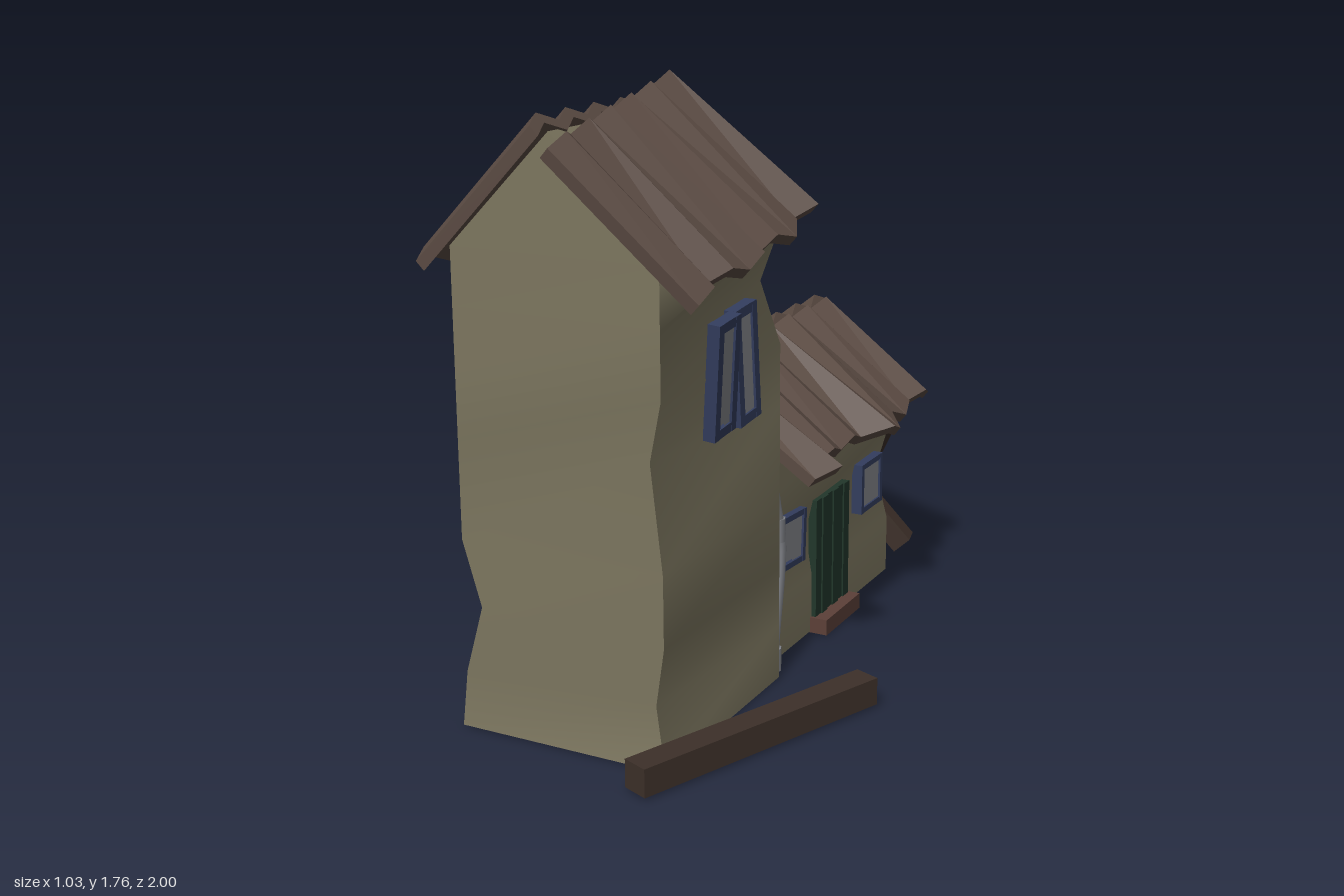
import * as THREE from 'three';
import { toCreasedNormals } from 'three/addons/utils/BufferGeometryUtils.js';

const material = (color, options = {}) =>
  new THREE.MeshStandardMaterial({ color, flatShading: true, roughness: 0.9, ...options });
const V = (x, y, z) => new THREE.Vector3(x, y, z);

// Collects quads and triangles (counter-clockwise from outside) into one mesh
function facetMesh(name, mat, build) {
  const pos = [];
  const tri = (...pts) => pts.forEach(p => pos.push(p.x, p.y, p.z));
  const quad = (a, b, c, d) => { tri(a, b, c); tri(a, c, d); };
  build(quad, tri);
  const g = new THREE.BufferGeometry();
  g.setAttribute('position', new THREE.Float32BufferAttribute(pos, 3));
  const m = new THREE.Mesh(toCreasedNormals(g, 0.8), mat);
  m.name = name;
  return m;
}

// Gabled wall block; dents = { row: { corner: [dx, dz] } }
// Corners: 0 = -x+z, 1 = +x+z, 2 = +x-z, 3 = -x-z
function walls(name, mat, [x0, x1], [z0, z1], heights, ridgeY, dents) {
  return facetMesh(name, mat, (quad, tri) => {
    const rows = heights.map((y, r) => [[x0, z1], [x1, z1], [x1, z0], [x0, z0]].map(([x, z], c) => {
      const [dx, dz] = dents[r]?.[c] ?? [0, 0];
      return V(x + dx, y, z + dz);
    }));
    for (let r = 0; r + 1 < rows.length; r++)
      for (let c = 0; c < 4; c++) {
        const n = (c + 1) % 4;
        quad(rows[r][c], rows[r][n], rows[r + 1][n], rows[r + 1][c]);
      }
    const b = rows[0], t = rows[rows.length - 1], mid = (x0 + x1) / 2;
    const f = V(mid, ridgeY, z1), k = V(mid, ridgeY, z0);
    quad(b[3], b[2], b[1], b[0]);
    tri(t[0], t[1], f);
    tri(t[2], t[3], k);
    quad(t[1], t[2], k, f);
    quad(t[3], t[0], f, k);
  });
}

// Corrugated sheet between a ridge line and an eave line; flare pushes single eave points out in x
function roofSheet(name, mat, ridge0, ridge1, eave0, eave1, folds, flare = []) {
  const amp = 0.017, thick = 0.034;
  const down = eave0.clone().sub(ridge0).normalize();
  const normal = ridge1.clone().sub(ridge0).cross(down).normalize();
  if (normal.y < 0) normal.negate();
  return facetMesh(name, mat, quad => {
    const steps = folds * 2, sections = [];
    for (let i = 0; i <= steps; i++) {
      const t = i / steps, lift = i % 2 ? amp : -amp;
      const r = ridge0.clone().lerp(ridge1, t);
      const e = eave0.clone().lerp(eave1, t);
      e.x += flare[i] ?? 0;
      const at = (p, d) => p.clone().addScaledVector(normal, lift + d);
      sections.push([at(r, thick / 2), at(e, thick / 2), at(e, -thick / 2), at(r, -thick / 2)]);
    }
    for (let i = 0; i < steps; i++)
      for (let k = 0; k < 4; k++) {
        const n = (k + 1) % 4, a = sections[i], b = sections[i + 1];
        quad(a[k], a[n], b[n], b[k]);
      }
    quad(...sections[0]);
    quad(...[...sections[steps]].reverse());
  });
}

function box(name, mat, w, h, d, x, y, z) {
  const m = new THREE.Mesh(new THREE.BoxGeometry(w, h, d), mat);
  m.position.set(x, y, z);
  m.name = name;
  return m;
}

// Square timber between two points
function timber(name, mat, a, b, w, h) {
  const m = box(name, mat, w, h, a.distanceTo(b), 0, 0, 0);
  m.position.copy(a).add(b).multiplyScalar(0.5);
  m.lookAt(b);
  return m;
}

// One framed pane facing local +z; a broken pane has a jagged piece missing
function sash(w, h, bar, frameMat, glassMat, broken) {
  const g = new THREE.Group();
  g.name = 'sash';
  for (const s of [-1, 1]) {
    g.add(box('stile', frameMat, bar, h, 0.036, s * (w - bar) / 2, 0, 0));
    g.add(box('rail', frameMat, w, bar, 0.034, 0, s * (h - bar) / 2, 0));
  }
  const pw = w / 2 - bar / 2, ph = h / 2 - bar / 2;
  const outline = [[pw, -ph], [pw, ph], [-pw, ph]];
  if (broken) outline.push([-pw, ph * 0.1], [-pw * 0.2, ph * 0.3], [-pw * 0.45, -ph * 0.35], [pw * 0.15, -ph * 0.6], [0, -ph]);
  else outline.push([-pw, -ph]);
  const pane = new THREE.Mesh(
    new THREE.ShapeGeometry(new THREE.Shape(outline.map(p => new THREE.Vector2(...p)))), glassMat);
  pane.position.z = 0.011;
  pane.name = 'glass';
  g.add(pane, box('paneBacking', glassMat, w - bar, h - bar, 0.008, 0, 0, 0));
  return g;
}

export function createModel() {
  const root = new THREE.Group();
  root.name = 'ruinedHouse';
  const plaster = material(0x7c765f, { flatShading: false });
  const roof = material(0x5a4a42, { side: THREE.DoubleSide });
  const wood = material(0x3d3029);
  const blue = material(0x333d5e);
  const glass = material(0x85878c, { side: THREE.DoubleSide });
  const green = material(0x21362a);
  const stepMat = material(0x5c4038);
  const metal = material(0x808288, { flatShading: false });

  // Walls with dented corners; the house is narrower than the tower
  root.add(walls('towerWalls', plaster, [-0.435, 0.183], [0.17, 0.845],
    [0.015, 0.18, 0.36, 0.56, 0.84, 1.02, 1.2, 1.36], 1.67, {
      0: { 0: [-0.02, 0] },
      1: { 1: [-0.045, -0.035] },
      2: { 0: [0.035, -0.03] },
      4: { 1: [-0.06, -0.045] },
      6: { 2: [-0.05, 0.025] },
    }));
  root.add(walls('houseWalls', plaster, [-0.375, 0.12], [-0.79, 0.2],
    [0.015, 0.2, 0.38, 0.52, 0.7], 0.9, { 2: { 2: [-0.03, 0.035] } }));

  // Roof sheets; the tower's left-hand one has slipped out of line
  root.add(roofSheet('towerRoofRight', roof, V(-0.137, 1.69, 0.1), V(-0.137, 1.69, 0.91),
    V(-0.495, 1.325, 0.1), V(-0.495, 1.325, 0.91), 6));
  root.add(roofSheet('towerRoofLeft', roof, V(-0.155, 1.755, 0.17), V(-0.06, 1.645, 0.95),
    V(0.24, 1.4, 0.06), V(0.285, 1.275, 0.85), 6,
    [0, 0.01, -0.02, 0, 0.05, 0, 0, 0.02, 0.03, -0.01, -0.04, 0, 0.01]));
  root.add(roofSheet('houseRoofRight', roof, V(-0.125, 0.92, -0.84), V(-0.125, 0.92, 0.17),
    V(-0.47, 0.65, -0.84), V(-0.47, 0.65, 0.17), 7));
  root.add(roofSheet('houseRoofLeft', roof, V(-0.12, 0.92, -0.83), V(-0.12, 0.92, 0.17),
    V(0.235, 0.64, -0.85), V(0.235, 0.64, 0.17), 7,
    [0, 0, -0.02, 0, 0.04, 0, 0.08, 0.07, 0.01, 0, 0.01, 0, 0, 0.09, 0.06]));

  // Windows on the +x side: [x, z, y, tilt, sash width, height, sash count]
  for (const [x, z, y, tilt, w, h, count] of [
    [0.198, 0.488, 1.02, 0.09, 0.12, 0.325, 2],
    [0.125, -0.013, 0.373, -0.06, 0.17, 0.165, 1],
    [0.125, -0.605, 0.378, 0, 0.168, 0.165, 1],
  ]) {
    const win = new THREE.Group();
    win.name = 'window';
    for (let i = 0; i < count; i++) {
      const s = sash(w, h, count > 1 ? 0.027 : 0.018, blue, glass, i === 0 && z > -0.5);
      s.position.x = (i - (count - 1) / 2) * w;
      if (count > 1 && i === 0) s.rotation.x = 0.1;
      win.add(s);
    }
    win.position.set(x, y, z);
    win.rotation.set(0, Math.PI / 2, tilt);
    root.add(win);
  }

  // Plank door and step
  const door = new THREE.Group();
  door.name = 'door';
  const planks = 6, pw = 0.235 / planks;
  for (let i = 0; i < planks; i++)
    door.add(box('doorPlank', green, 0.04 + (i % 2) * 0.01, 0.385, pw, 0.115, 0.248, -0.19 - (i + 0.5) * pw));
  root.add(door);
  root.add(box('doorStep', stepMat, 0.1, 0.05, 0.255, 0.127, 0.037, -0.308));

  // Bent drainpipe with collars
  const pipe = new THREE.Group();
  pipe.name = 'drainpipe';
  const path = new THREE.CatmullRomCurve3([
    V(0.145, 0.66, 0.145), V(0.145, 0.56, 0.138), V(0.15, 0.42, 0.105),
    V(0.15, 0.32, 0.108), V(0.145, 0.1, 0.135), V(0.145, 0.015, 0.14)]);
  const tube = new THREE.Mesh(new THREE.TubeGeometry(path, 14, 0.022, 8), metal);
  tube.name = 'pipe';
  pipe.add(tube);
  for (const [y, z] of [[0.45, 0.115], [0.055, 0.138]]) {
    const collar = new THREE.Mesh(new THREE.CylinderGeometry(0.027, 0.027, 0.07, 8), metal);
    collar.position.set(0.147, y, z);
    collar.name = 'pipeCollar';
    pipe.add(collar);
  }
  root.add(pipe);

  // Loose timbers
  root.add(timber('fallenBeam', wood, V(0.17, 0.06, 0.98), V(0.478, 0.06, 0.205), 0.08, 0.08));
  root.add(timber('leaningPlankLong', wood, V(-0.19, 0.03, -0.95), V(0.06, 0.51, -0.86), 0.085, 0.075));
  root.add(timber('leaningPlankShort', wood, V(0.135, 0.075, -0.91), V(-0.19, 0.455, -0.83), 0.08, 0.07));

  return root;
}
